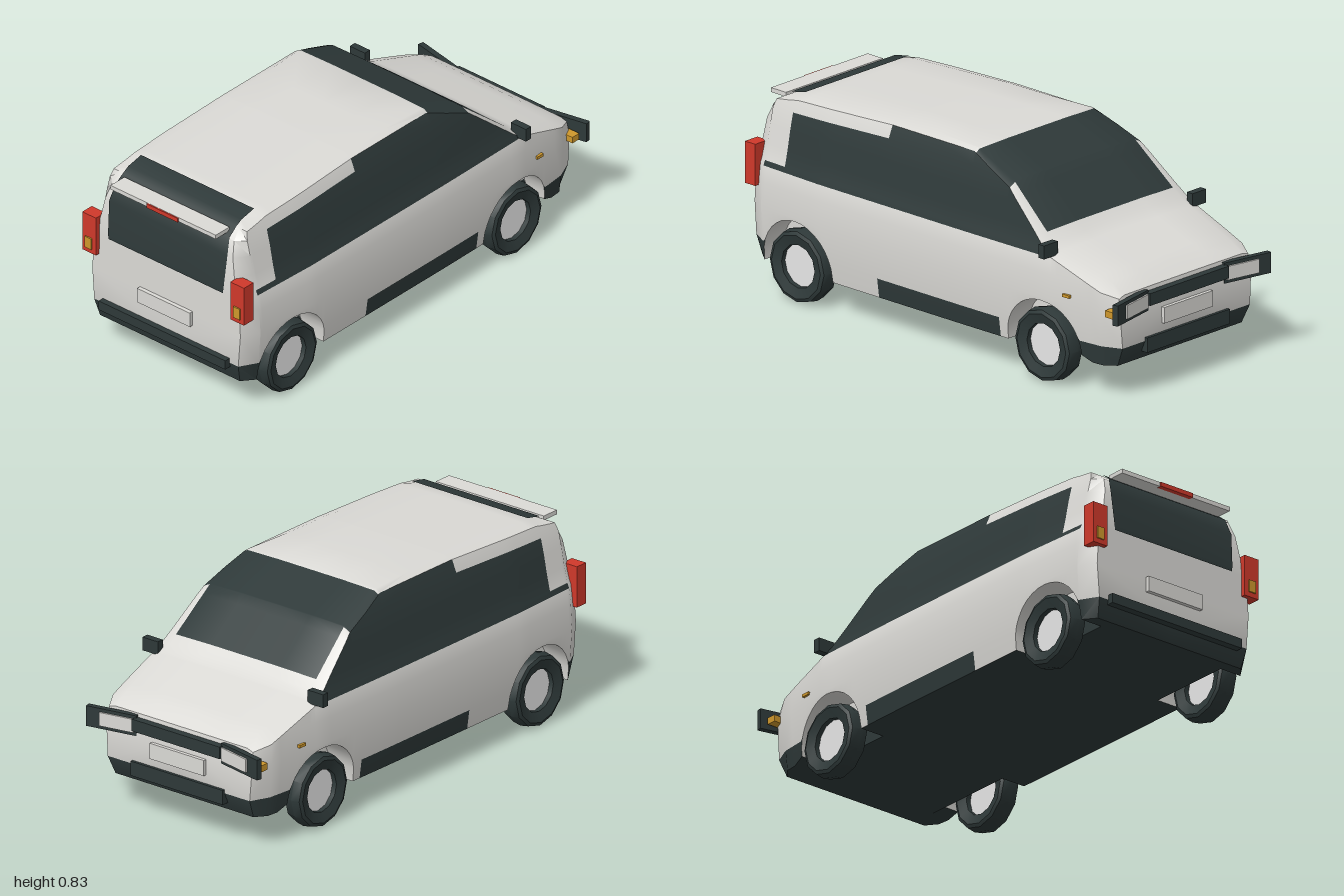
import * as THREE from 'three';
import { toCreasedNormals } from 'three/addons/utils/BufferGeometryUtils.js';

const mat = (name, color) => {
  const m = new THREE.MeshStandardMaterial({ color });
  m.name = name;
  return m;
};

// piecewise linear lookup in [[key, value], ...]
function lerpTable(table, t) {
  if (t <= table[0][0]) return table[0][1];
  for (let i = 1; i < table.length; i++) {
    const [a, va] = table[i - 1], [b, vb] = table[i];
    if (t <= b) return va + (vb - va) * (t - a) / (b - a);
  }
  return table[table.length - 1][1];
}

const FLOOR = 0.13, WELL_X = 0.30, ARCH_R = 0.187, WHEEL_Y = 0.15;
const AXLES = [0.712, -0.592];
const TOP = [[-0.88, 0.46], [-0.77, 0.495], [-0.61, 0.545], [-0.37, 0.745], [-0.155, 0.83], [0.27, 0.83], [0.78, 0.808], [0.9, 0.79]];
const DROP = [[-0.88, 0.03], [-0.61, 0.022], [-0.165, 0.015], [0.9, 0.015]];
const EDGE = [[-0.88, 0.33], [-0.61, 0.355], [-0.165, 0.318], [0.1, 0.3], [0.9, 0.29]];
const WIDTH = [[-0.88, 0.40], [-0.6, 0.428], [-0.2, 0.433], [0.6, 0.433], [0.9, 0.42]];
const PROFILE = [[0.13, 0.95], [0.21, 0.975], [0.35, 1], [0.45, 0.985], [0.515, 0.965], [0.535, 0.945], [0.6, 0.91], [0.7, 0.865], [0.765, 0.825], [0.815, 0.775]];
const TAIL = [[0.13, 0.95], [0.21, 0.972], [0.535, 0.97], [0.68, 0.955], [0.745, 0.93], [0.775, 0.89], [0.79, 0.86]];
const NOSE = [[0.13, -0.925], [0.2, -0.96], [0.33, -0.96], [0.42, -0.945]];

// half cross-section from floor centre round to roof centre
function section(z) {
  const H = lerpTable(TOP, z), yS = H - lerpTable(DROP, z);
  let yb = FLOOR;
  for (const a of AXLES) {
    const d = ARCH_R ** 2 - (z - a) ** 2;
    if (d > 0) yb = Math.max(yb, WHEEL_Y + Math.sqrt(d));
  }
  const glassTop = Math.min(0.77, 0.745 + (0.79 - z) * 0.04);
  const pts = [[0, FLOOR], [WELL_X, FLOOR], [WELL_X, Math.min(0.21, yb)], [WELL_X, yb]];
  for (const v of [FLOOR, 0.21, 0.35, 0.45, 0.515, 0.535, 0.6, 0.68, glassTop, yS]) {
    const y = Math.min(yS, Math.max(v, yb));
    pts.push([lerpTable(WIDTH, z) * lerpTable(PROFILE, y), y]);
  }
  const xR = lerpTable(EDGE, z);
  pts.push([xR, H - 0.003], [xR * 0.5, H], [0, H]);
  // pull the rear quarter in to follow the tailgate
  return pts.map(([x, y]) => {
    const end = Math.min(0.9, lerpTable(TAIL, y));
    return [x, y, z > 0.78 ? 0.78 + (z - 0.78) * (end - 0.78) / 0.12 : z];
  });
}

// material index per patch: 0 paint, 1 dark trim and glass
function patchColour(j, z) {
  const inArch = AXLES.some(a => Math.abs(z - a) < ARCH_R);
  if (j < 2) return 1;
  if (j < 4) return inArch ? 0 : 1;
  if (j === 4) return (z > -0.365 && z < 0.28) || z > 0.88 || z < -0.77 ? 1 : 0;
  if (j === 8) return z > -0.68 && z < 0.91 ? 1 : 0;
  if (j > 8 && j < 12) return z > -0.64 && z < 0.79 ? 1 : 0;
  if (j === 12) return z > -0.64 && z < 0.28 ? 1 : 0;
  if (j === 13) return z > -0.37 && z < -0.165 ? 1 : 0;
  if (j > 13) return z > -0.555 && z < -0.165 ? 1 : 0;
  return 0;
}

function bodyGeometry() {
  const zs = [-0.88, -0.83, -0.68, -0.64, -0.555, -0.37, -0.365, -0.26, -0.165, -0.155, 0.06, 0.27, 0.28, 0.4, 0.79, 0.9];
  for (const a of AXLES) for (let k = 0; k <= 16; k++) zs.push(a - ARCH_R * Math.cos(Math.PI * k / 16));
  zs.sort((a, b) => a - b);
  const rings = zs.filter((z, i) => !i || z - zs[i - 1] > 0.0005).map(section);
  const mids = rings.map((r, i) => i + 1 < rings.length ? (r[4][2] + rings[i + 1][4][2]) / 2 : 0.93);
  // rounded nose and tail rings
  const inset = (x, d, j) => j < 4 ? x : (j > 13 ? x : Math.max(0, x - d));
  const nose = rings[0].map(([x, y], j) => {
    const ny = y > 0.4 ? 0.4 + (y - 0.4) * 0.35 : y;
    return [inset(x, 0.035, j), ny, lerpTable(NOSE, ny)];
  });
  const tail = rings[rings.length - 1].map(([x, y], j) => [inset(x, 0.04, j), y, lerpTable(TAIL, y)]);
  rings.unshift(nose); mids.unshift(-0.92);
  rings.push(tail);

  const buckets = [[], []];
  const A = new THREE.Vector3(), B = new THREE.Vector3(), C = new THREE.Vector3();
  const tri = (m, a, b, c) => {
    A.fromArray(a); B.fromArray(b).sub(A); C.fromArray(c).sub(A);
    if (B.cross(C).length() < 1e-8) return;
    const f = p => [-p[0], p[1], p[2]];
    buckets[m].push(...a, ...b, ...c, ...f(a), ...f(c), ...f(b));
  };
  const quad = (m, a, b, c, d) => { tri(m, a, b, c); tri(m, a, c, d); };
  for (let i = 0; i + 1 < rings.length; i++)
    for (let j = 0; j + 1 < rings[i].length; j++)
      quad(patchColour(j, mids[i]), rings[i][j], rings[i][j + 1], rings[i + 1][j + 1], rings[i + 1][j]);
  // end faces
  const mid = p => [0, p[1], p[2]];
  for (let j = 4; j + 1 < nose.length; j++) {
    const m = j === 4 ? 1 : 0;
    quad(m, mid(tail[j]), tail[j], tail[j + 1], mid(tail[j + 1]));
    quad(m, mid(nose[j + 1]), nose[j + 1], nose[j], mid(nose[j]));
  }
  const g = new THREE.BufferGeometry();
  g.setAttribute('position', new THREE.Float32BufferAttribute(buckets[0].concat(buckets[1]), 3));
  g.addGroup(0, buckets[0].length / 3, 0);
  g.addGroup(buckets[0].length / 3, buckets[1].length / 3, 1);
  return toCreasedNormals(g, 0.6);
}

// tailgate glass running from the roof edge down the rear face
function rearGlassGeometry() {
  const line = [[0.811, 0.79, 0.29], [0.796, 0.863, 0.29], [0.779, 0.893, 0.29], [0.748, 0.935, 0.292], [0.68, 0.96, 0.303], [0.535, 0.975, 0.296], [0.515, 0.975, 0.293]];
  const pos = [], idx = [];
  line.forEach(([y, z, w], i) => {
    pos.push(-w, y, z, w, y, z);
    if (i) { const k = 2 * i; idx.push(k - 2, k, k + 1, k - 2, k + 1, k - 1); }
  });
  const g = new THREE.BufferGeometry();
  g.setAttribute('position', new THREE.Float32BufferAttribute(pos, 3));
  g.setIndex(idx);
  g.computeVertexNormals();
  return g;
}

export function createModel() {
  const car = new THREE.Group();
  car.name = 'van';
  const paint = mat('paint', 0xdbdad6), dark = mat('darkTrim', 0x2e3939);
  const red = mat('redLens', 0xd0392b), amber = mat('amberLens', 0xcf982c), white = mat('wheelWhite', 0xffffff);

  const add = (name, geo, m, parent = car) => {
    const mesh = new THREE.Mesh(geo, m);
    mesh.name = name;
    parent.add(mesh);
    return mesh;
  };
  // box from min and max corners
  const box = (name, m, x0, x1, y0, y1, z0, z1, parent) => {
    const b = add(name, new THREE.BoxGeometry(x1 - x0, y1 - y0, z1 - z0), m, parent);
    b.position.set((x0 + x1) / 2, (y0 + y1) / 2, (z0 + z1) / 2);
    return b;
  };

  add('body', bodyGeometry(), [paint, dark]);
  add('rearGlass', rearGlassGeometry(), dark);

  // rear fittings
  box('spoiler', paint, -0.27, 0.27, 0.758, 0.776, 0.91, 0.99);
  box('brakeLight', red, -0.08, 0.08, 0.757, 0.775, 0.975, 0.996);
  box('rearPlate', paint, -0.135, 0.135, 0.3, 0.363, 0.96, 0.988);
  box('rearBumper', dark, -0.325, 0.325, 0.19, 0.23, 0.96, 0.997);

  // front fittings
  box('grille', dark, -0.22, 0.22, 0.355, 0.405, -0.978, -0.94);
  box('frontPlate', paint, -0.135, 0.135, 0.26, 0.325, -0.972, -0.95);
  box('frontBumper', dark, -0.23, 0.23, 0.165, 0.225, -0.972, -0.94);

  // tyre profile, spun about the axle
  const profile = [[0.088, -0.03], [0.13, -0.042], [0.144, -0.036], [0.15, 0], [0.144, 0.036], [0.13, 0.042], [0.088, 0.03], [0.088, -0.03]];
  const tyre = toCreasedNormals(new THREE.LatheGeometry(profile.map(p => new THREE.Vector2(...p)), 12).rotateZ(Math.PI / 2), 0.6);
  const hub = new THREE.CylinderGeometry(0.089, 0.089, 0.02, 12).rotateZ(Math.PI / 2);

  for (const s of [1, -1]) {
    const side = s > 0 ? 'left' : 'right';
    const sbox = (name, m, x0, x1, ...r) => box(side + name, m, s > 0 ? x0 : -x1, s > 0 ? x1 : -x0, ...r);
    sbox('TailLight', red, 0.345, 0.415, 0.425, 0.595, 0.935, 0.99);
    sbox('TailIndicator', amber, 0.364, 0.398, 0.445, 0.494, 0.985, 0.996);
    sbox('Mirror', dark, 0.375, 0.452, 0.52, 0.575, -0.635, -0.605);
    sbox('SideMarker', amber, 0.405, 0.424, 0.378, 0.39, -0.74, -0.705);
    sbox('FrontIndicator', amber, 0.355, 0.412, 0.345, 0.372, -0.96, -0.92);

    // swept headlight housing and lens
    const lamp = new THREE.Group();
    lamp.name = side + 'Headlight';
    lamp.position.set(s * 0.322, 0.372, -0.97);
    lamp.rotation.y = s * 0.2;
    car.add(lamp);
    box('housing', dark, -0.11, 0.11, -0.042, 0.042, -0.012, 0.012, lamp);
    box('lens', paint, s > 0 ? -0.1 : -0.05, s > 0 ? 0.05 : 0.1, -0.028, 0.028, -0.019, -0.011, lamp);

    AXLES.forEach((z, i) => {
      const wheel = new THREE.Group();
      wheel.name = side + (i ? 'Front' : 'Rear') + 'Wheel';
      wheel.position.set(s * 0.38, WHEEL_Y, z);
      car.add(wheel);
      add('tyre', tyre, dark, wheel);
      add('hub', hub, white, wheel);
    });
  }
  return car;
}
